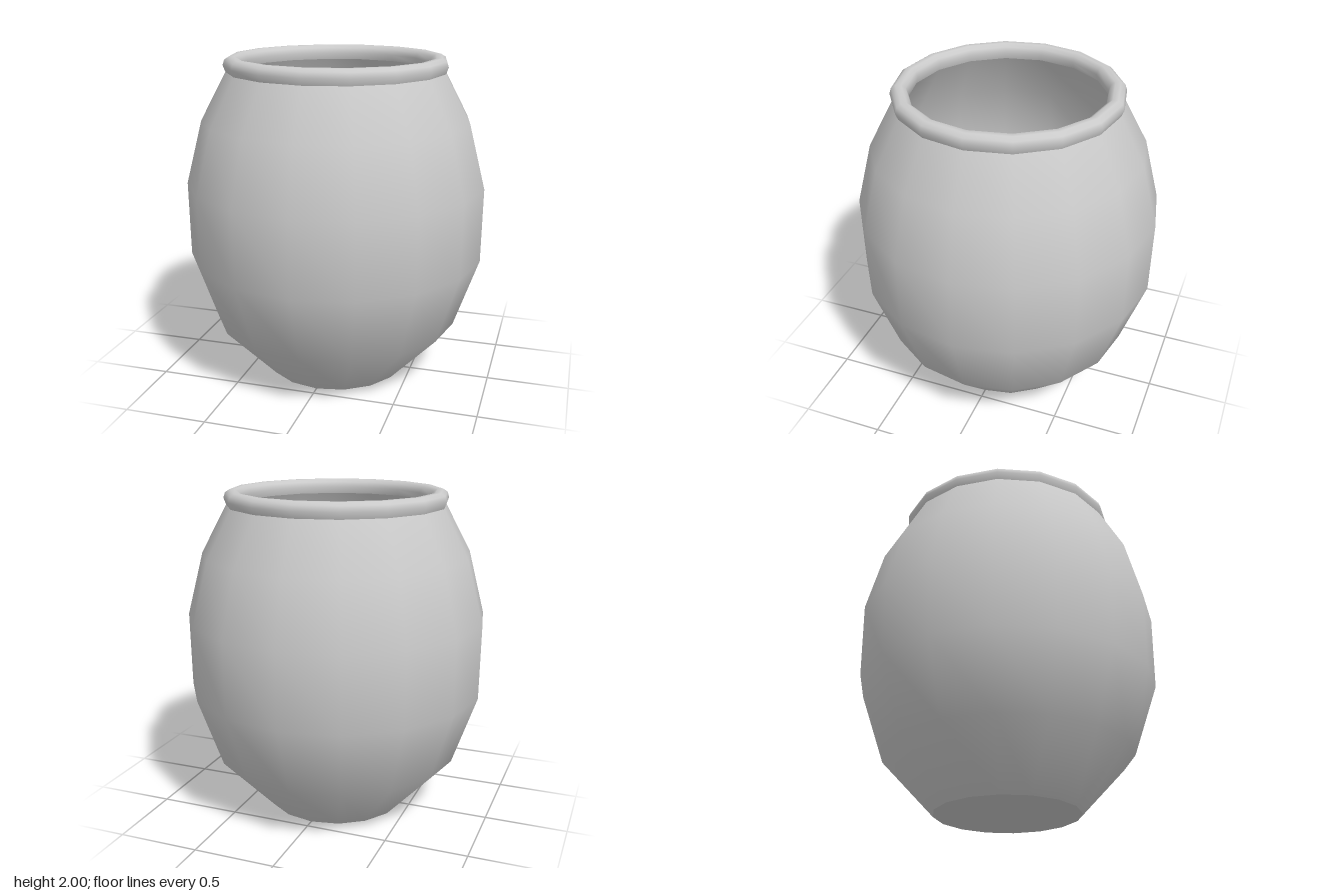
import * as THREE from 'three';

const SIDES = 16;

export function createModel() {
  const pot = new THREE.Group();
  pot.name = 'pot';
  const material = new THREE.MeshStandardMaterial({ color: 0xcccccc });

  // Each surface is its own lathe, so normals are smooth within it and sharp at its borders.
  const turn = (name, profile) => {
    const points = profile.map(([r, y]) => new THREE.Vector2(r, y));
    const mesh = new THREE.Mesh(new THREE.LatheGeometry(points, SIDES), material);
    mesh.name = name;
    pot.add(mesh);
  };

  // Flat underside
  turn('base', [[0, 0], [0.44, 0]]);

  // Bulging body, bottom to top
  turn('outerWall', [
    [0.44, 0], [0.765, 0.345], [0.915, 0.78], [0.92, 1.235], [0.82, 1.62], [0.665, 1.91],
  ]);

  // Rounded lip, from the outside over the top to the inside
  turn('rim', [
    [0.665, 1.91], [0.68, 1.95], [0.669, 1.983], [0.642, 2],
    [0.61, 2], [0.585, 1.983], [0.574, 1.95], [0.585, 1.91],
  ]);

  // Hollow interior, top to bottom
  turn('innerWall', [
    [0.585, 1.91], [0.77, 1.6], [0.868, 1.225], [0.863, 0.79], [0.722, 0.375], [0.41, 0.05],
  ]);

  // Inside bottom
  turn('floor', [[0.41, 0.05], [0, 0.05]]);

  return pot;
}
